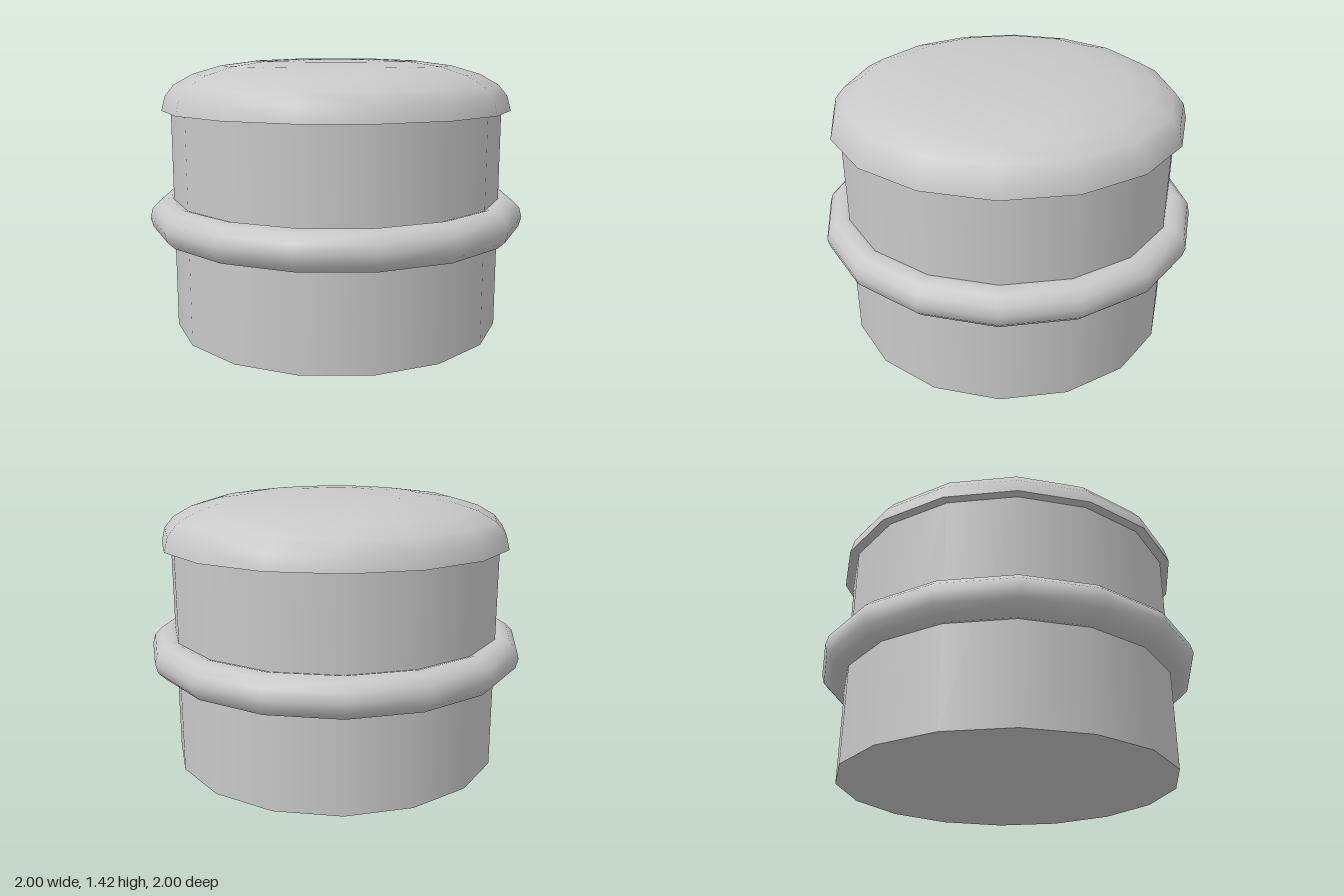
import * as THREE from 'three';

const SIDES = 16;

export function createModel() {
  const model = new THREE.Group();
  model.name = 'cappedDrum';

  const grey = new THREE.MeshStandardMaterial({ color: 0xc8c8c8 });
  grey.name = 'light grey';

  const add = (name, geometry, y, parent = model) => {
    const mesh = new THREE.Mesh(geometry, grey);
    mesh.name = name;
    mesh.position.y = y;
    parent.add(mesh);
    return mesh;
  };

  // Straight drum body
  add('body', new THREE.CylinderGeometry(0.875, 0.875, 1.16, SIDES), 0.58);

  // Rounded band around the middle
  add('band', new THREE.TorusGeometry(0.9, 0.1, 12, SIDES).rotateX(Math.PI / 2), 0.6);

  // Overhanging domed cap with a flat underside
  const cap = new THREE.Group();
  cap.name = 'cap';
  cap.position.y = 1.16;
  model.add(cap);
  const profile = [
    [0.923, 0], [0.904, 0.075], [0.856, 0.134], [0.76, 0.188],
    [0.615, 0.23], [0.43, 0.254], [0.22, 0.263], [0, 0.265],
  ].map(([r, y]) => new THREE.Vector2(r, y));
  add('capDome', new THREE.LatheGeometry(profile, SIDES), 0, cap);
  add('capUnderside', new THREE.CircleGeometry(0.923, SIDES).rotateX(Math.PI / 2), 0, cap);

  return model;
}
